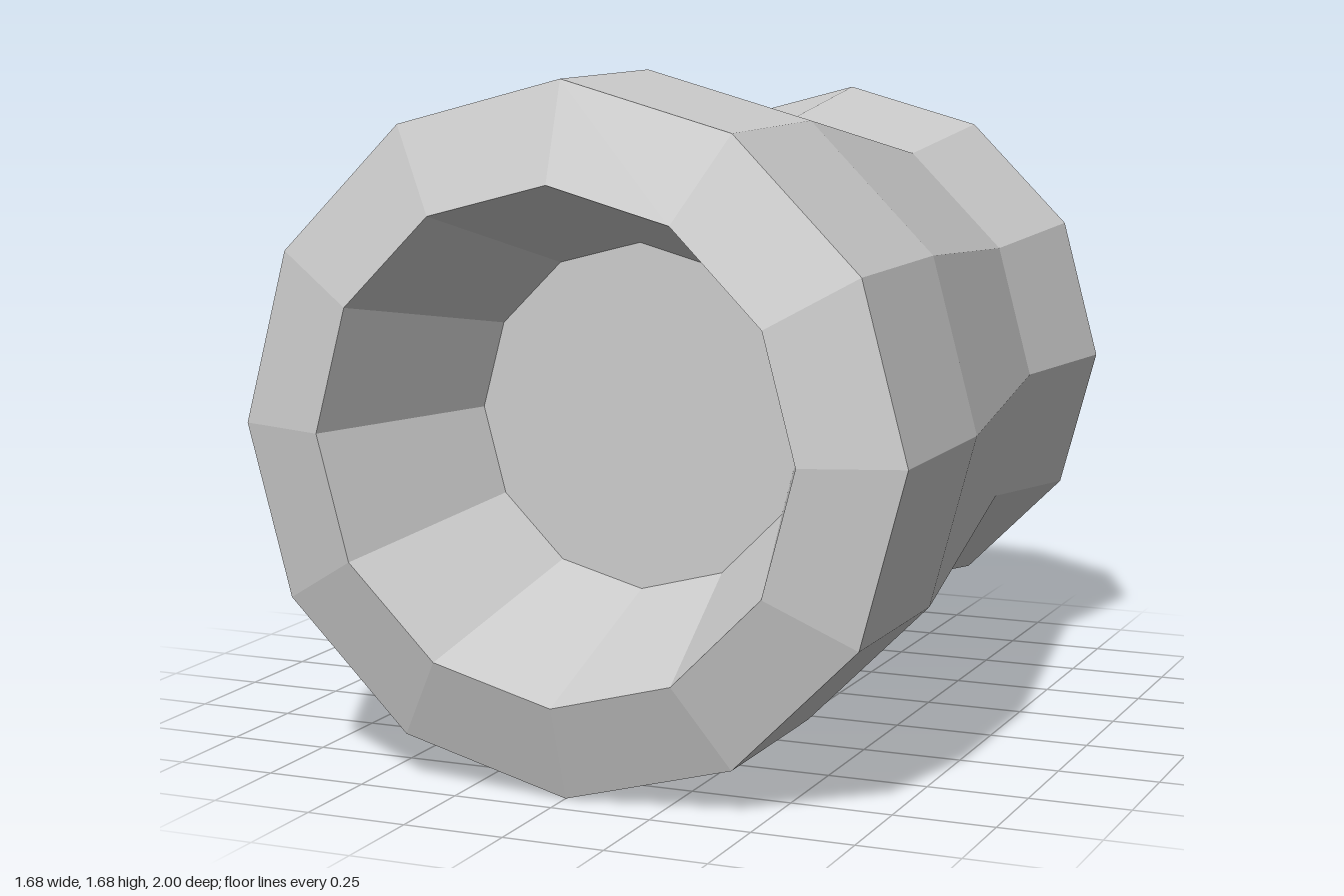
import * as THREE from 'three';

const SIDES = 12;
const CENTRE_Y = 0.84;

export function createModel() {
  const model = new THREE.Group();
  model.name = 'hollowNosedBarrel';
  const grey = new THREE.MeshStandardMaterial({ color: 0xcccccc, flatShading: true });
  grey.name = 'light grey';

  // Revolve [radius, z] pairs around the z axis
  const addLathe = (name, profile) => {
    const points = profile.map(([r, z]) => new THREE.Vector2(r, z));
    const geometry = new THREE.LatheGeometry(points, SIDES).rotateX(Math.PI / 2);
    const mesh = new THREE.Mesh(geometry, grey);
    mesh.name = name;
    mesh.position.y = CENTRE_Y;
    model.add(mesh);
  };

  // Flat closed end at the back
  const addDisc = (name, radius, z, facesBack) => {
    const geometry = new THREE.CircleGeometry(radius, SIDES);
    if (facesBack) geometry.rotateY(Math.PI);
    const mesh = new THREE.Mesh(geometry, grey);
    mesh.name = name;
    mesh.position.set(0, CENTRE_Y, z);
    model.add(mesh);
  };

  addDisc('backCap', 0.73, -1, true);
  // Waisted outer wall
  addLathe('body', [[0.73, -1], [0.67, -0.56], [0.84, 0.43], [0.84, 0.92]]);
  // Chamfer around the mouth
  addLathe('rim', [[0.84, 0.92], [0.605, 1]]);
  // Tapered hollow and its floor
  addLathe('recessWall', [[0.605, 1], [0.427, 0.48]]);
  addDisc('recessFloor', 0.427, 0.48, false);

  return model;
}
